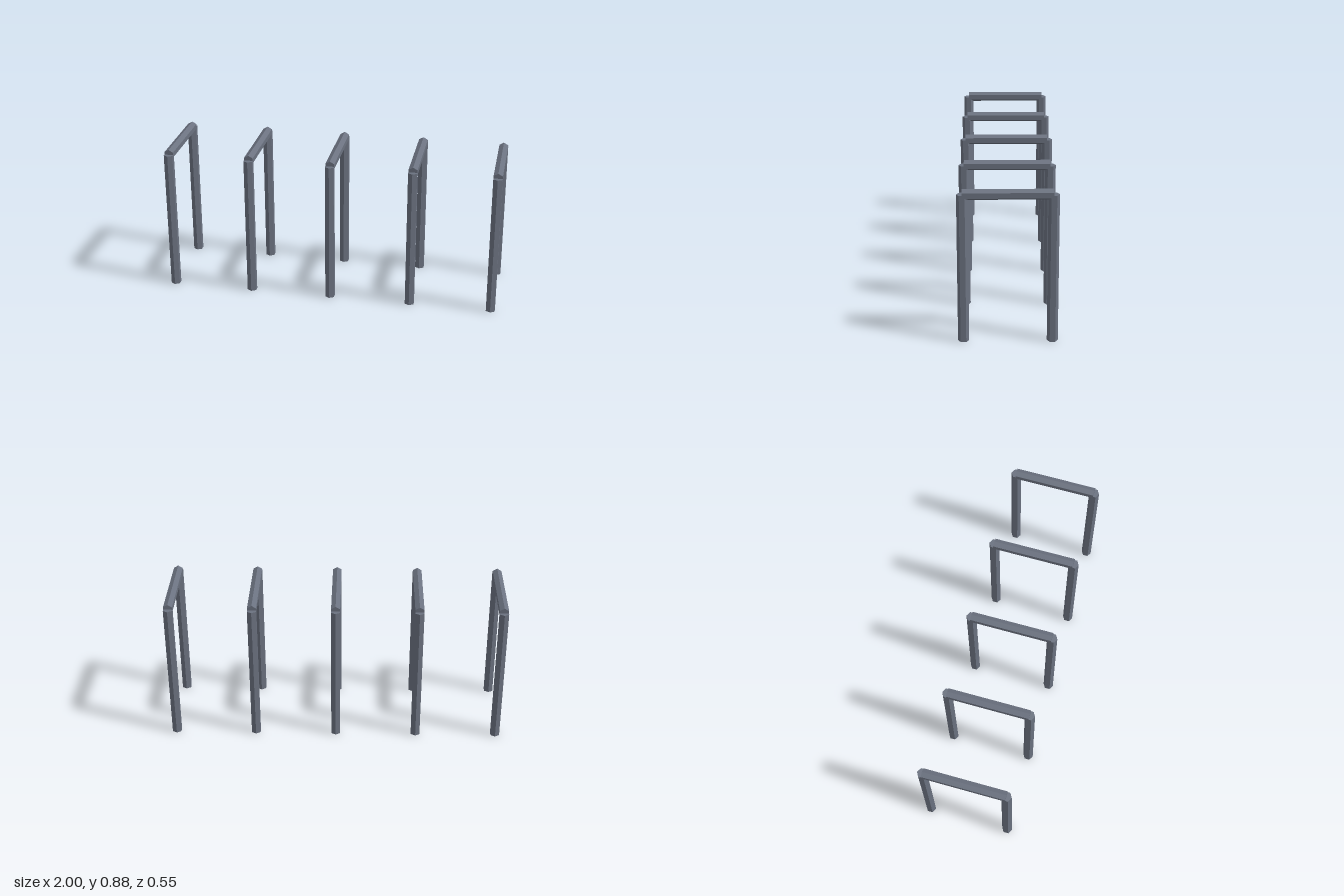
import * as THREE from 'three';

export function createModel() {
  const model = new THREE.Group();
  model.name = 'archRow';

  const steel = new THREE.MeshStandardMaterial({ color: 0x6b7280 });
  steel.name = 'slate grey steel';

  const radius = 0.0305, height = 0.852, halfSpan = 0.244, spacing = 0.4868;

  // Six-sided bars with crisp facets
  const hexBar = (length) => new THREE.CylinderGeometry(radius, radius, length, 6).toNonIndexed();
  const postGeometry = hexBar(height);
  const beamGeometry = hexBar(halfSpan * 2).rotateX(Math.PI / 2);
  postGeometry.computeVertexNormals();
  beamGeometry.computeVertexNormals();

  const addPart = (parent, name, geometry, y, z) => {
    const mesh = new THREE.Mesh(geometry, steel);
    mesh.name = name;
    mesh.position.set(0, y, z);
    parent.add(mesh);
  };

  // Five identical arches along x
  for (let i = -2; i <= 2; i++) {
    const arch = new THREE.Group();
    arch.name = `arch${i + 3}`;
    arch.position.x = i * spacing;
    addPart(arch, 'frontPost', postGeometry, height / 2, halfSpan);
    addPart(arch, 'backPost', postGeometry, height / 2, -halfSpan);
    addPart(arch, 'topBeam', beamGeometry, height, 0);
    model.add(arch);
  }
  return model;
}
